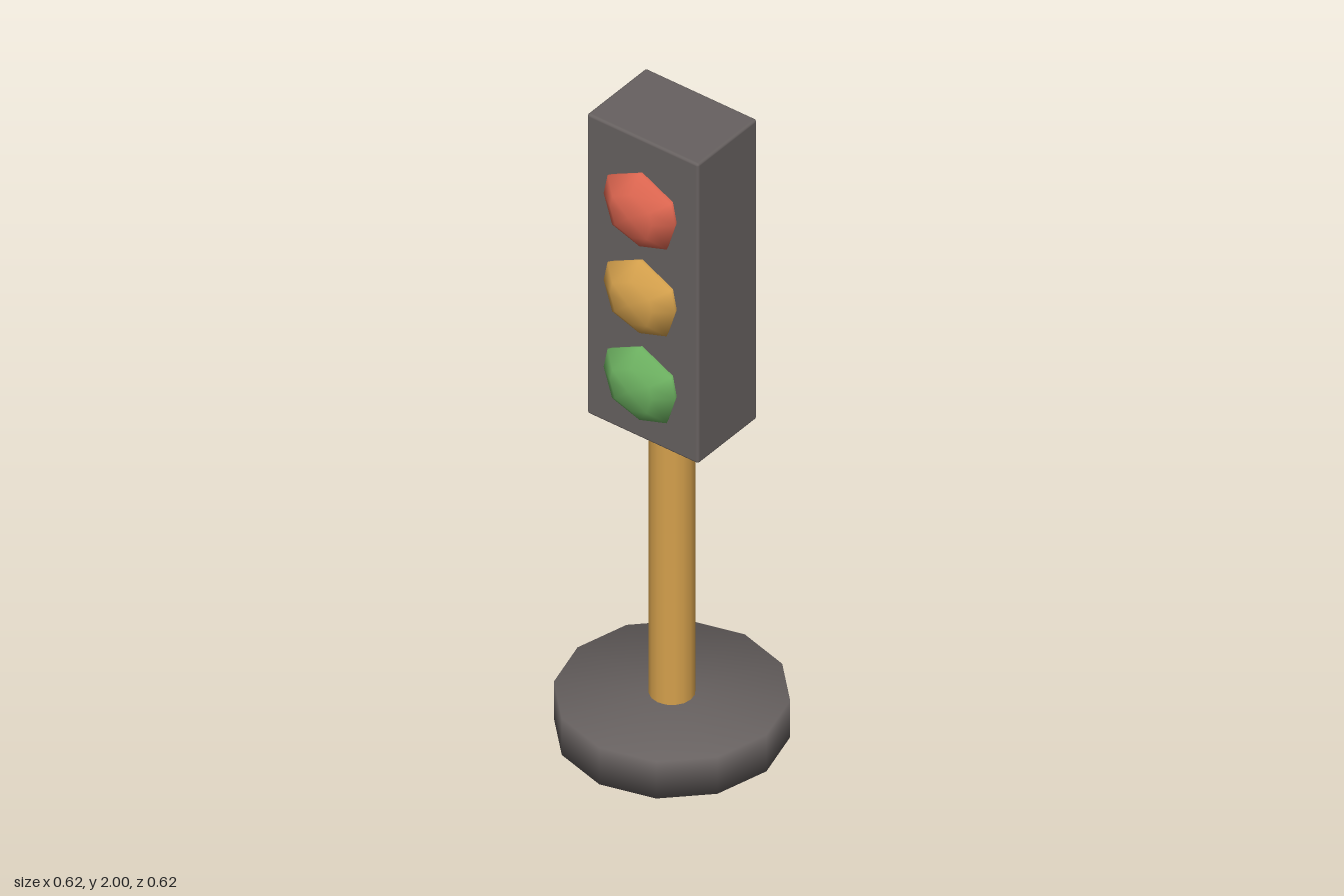
import * as THREE from 'three';
import { mergeVertices } from 'three/addons/utils/BufferGeometryUtils.js';
import { RoundedBoxGeometry } from 'three/addons/geometries/RoundedBoxGeometry.js';

function material(name, color) {
  const m = new THREE.MeshStandardMaterial({ color });
  m.name = name;
  return m;
}

function part(name, geometry, mat, y) {
  const mesh = new THREE.Mesh(geometry, mat);
  mesh.name = name;
  mesh.position.y = y;
  return mesh;
}

// Softly shaded twelve-sided disc
function baseGeometry() {
  const g = new THREE.CylinderGeometry(0.312, 0.312, 0.12, 12);
  g.deleteAttribute('normal');
  g.deleteAttribute('uv');
  const merged = mergeVertices(g);
  merged.computeVertexNormals();
  return merged;
}

// Faceted dome: one outline repeated at several depths, closed by a centre point
function lensGeometry() {
  const outline = [
    [0, 0.118], [-0.105, 0.065], [-0.118, 0], [-0.09, -0.09],
    [0, -0.12], [0.09, -0.09], [0.118, 0], [0.105, 0.065],
  ];
  const rings = [[0.1, 0.88], [0.14, 1], [0.177, 0.58]]; // depth, scale
  const n = outline.length;
  const positions = [];
  const index = [];
  for (const [z, s] of rings) for (const [x, y] of outline) positions.push(x * s, y * s, z);
  positions.push(0, 0, 0.188);
  const centre = n * rings.length;
  for (let r = 0; r < rings.length; r++) {
    for (let j = 0; j < n; j++) {
      const a = r * n + j;
      const b = r * n + ((j + 1) % n);
      if (r === rings.length - 1) index.push(a, b, centre);
      else index.push(a, b, b + n, a, b + n, a + n);
    }
  }
  const g = new THREE.BufferGeometry();
  g.setAttribute('position', new THREE.Float32BufferAttribute(positions, 3));
  g.setIndex(index);
  g.computeVertexNormals();
  return g;
}

export function createModel() {
  const group = new THREE.Group();
  group.name = 'trafficLight';

  const grey = material('warmGrey', 0x676160);
  const amber = material('amber', 0xd4a04c);
  const red = material('red', 0xdd6650);
  const green = material('green', 0x6cb060);

  // Stand
  group.add(part('base', baseGeometry(), grey, 0.06));
  group.add(part('post', new THREE.CylinderGeometry(0.062, 0.062, 0.94, 16), amber, 0.57));

  // Housing with slightly softened edges
  group.add(part('housing', new RoundedBoxGeometry(0.368, 0.98, 0.254, 2, 0.008), grey, 1.51));

  // Three lamps on the front
  const lens = lensGeometry();
  group.add(part('redLamp', lens, red, 1.778));
  group.add(part('amberLamp', lens, amber, 1.494));
  group.add(part('greenLamp', lens, green, 1.21));

  return group;
}
